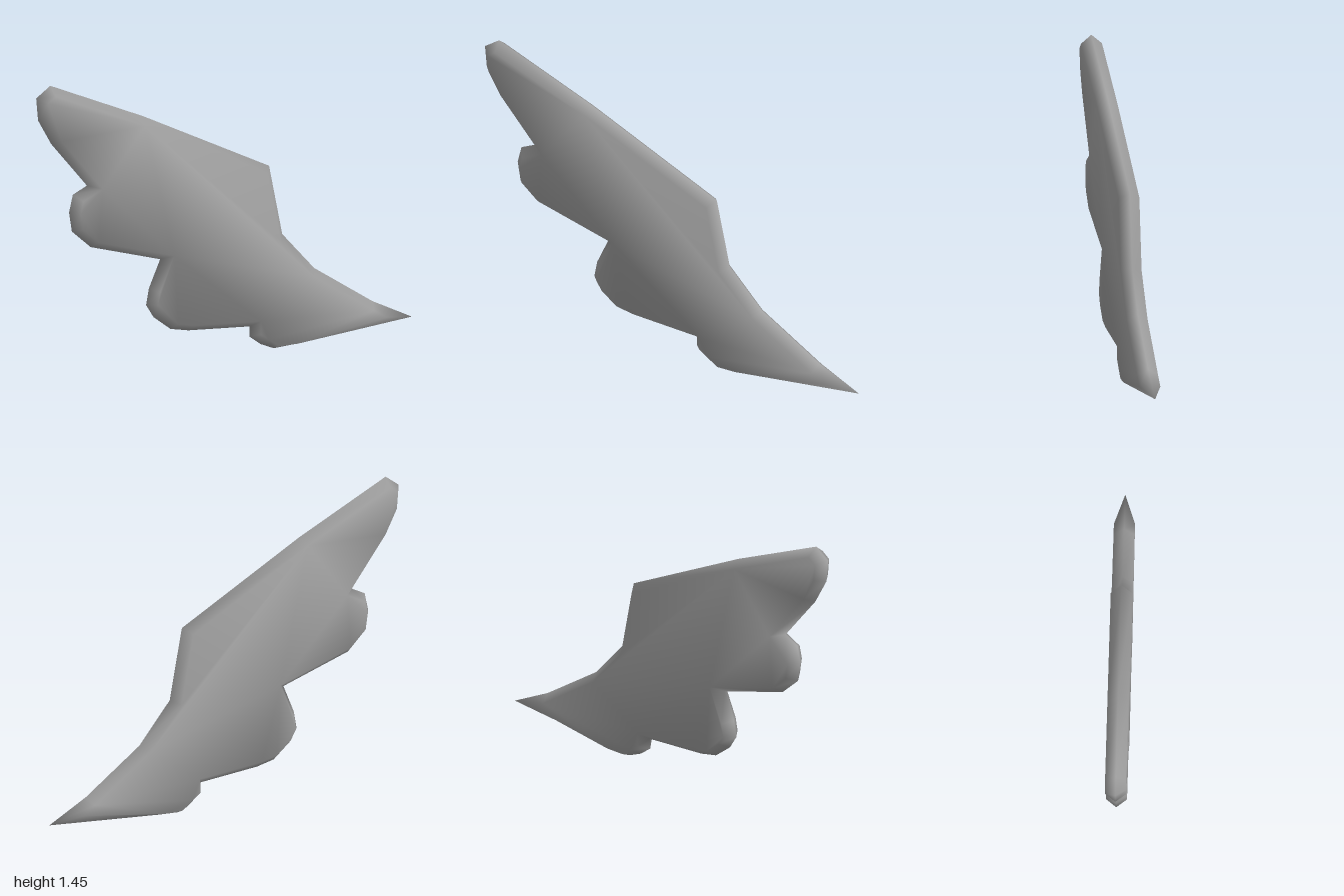
import * as THREE from 'three';

const HALF_DEPTH = 0.05;
const BEVEL = 0.036;
const SOFTNESS = 0.5; // how far the face normals lean outward at the bevel

// Wing silhouette, counter-clockwise from the pointed tip: x, y, bevel scale
const OUTLINE = [
  [1, 0.055, 1.2], [0.79, 0.16], [0.48, 0.365], [0.31, 0.555], [0.24, 0.9],     // shoulder
  [-0.43, 1.235], [-0.925, 1.452], [-1, 1.4], [-0.99, 1.29], [-0.92, 1.165],    // long feather
  [-0.73, 0.935], [-0.805, 0.9], [-0.825, 0.815], [-0.81, 0.72], [-0.71, 0.63], // second feather
  [-0.34, 0.52], [-0.4, 0.385], [-0.415, 0.305], [-0.375, 0.24], [-0.285, 0.17],
  [-0.19, 0.15], [0.135, 0.125],                                                // third feather
  [0.135, 0.075], [0.195, 0.03], [0.265, 0, 0.6], [0.365, 0.005, 0.45],         // lowest feather
];

// Flat regions of each face, as corner numbers of the outline
const REGIONS = [
  [5, 6, 7, 8, 9, 10],              // long feather
  [10, 11, 12, 13, 14, 15],         // second feather
  [15, 16, 17, 18, 19, 20, 21],     // third feather
  [21, 22, 23, 24, 25, 0, 1, 2],    // lowest feather
  [5, 10, 15],
  [2, 3, 4, 5, 15, 21],             // core
];

// Mitre vector at a corner: points inward, one unit from both edges
function mitre(points, i) {
  const n = points.length;
  const a = points[i].clone().sub(points[(i + n - 1) % n]).normalize();
  const b = points[(i + 1) % n].clone().sub(points[i]).normalize();
  const na = new THREE.Vector2(-a.y, a.x);
  const nb = new THREE.Vector2(-b.y, b.x);
  return na.clone().add(nb).divideScalar(1 + na.dot(nb));
}

// Three rings (front, rim, back) joined by bevels and closed by flat faces
function wingGeometry() {
  const n = OUTLINE.length;
  const rim = OUTLINE.map(([x, y]) => new THREE.Vector2(x, y));
  const mitres = rim.map((p, i) => mitre(rim, i));
  const inner = rim.map((p, i) => p.clone().addScaledVector(mitres[i], BEVEL * (OUTLINE[i][2] ?? 1)));
  const positions = [];
  const normals = [];
  const index = [];

  for (const side of [1, 0, -1]) {
    (side ? inner : rim).forEach((p, i) => {
      const out = mitres[i].clone().normalize().multiplyScalar(side ? -SOFTNESS : -1);
      const normal = new THREE.Vector3(out.x, out.y, side).normalize();
      positions.push(p.x, p.y, side * HALF_DEPTH);
      normals.push(normal.x, normal.y, normal.z);
    });
  }

  // Bevels
  for (let r = 0; r < 2; r++) {
    for (let i = 0; i < n; i++) {
      const j = (i + 1) % n;
      const a = r * n + i, b = r * n + j, c = a + n, d = b + n;
      index.push(a, c, d, a, d, b);
    }
  }

  // Front and back faces
  for (const region of REGIONS) {
    for (const triangle of THREE.ShapeUtils.triangulateShape(region.map((i) => inner[i]), [])) {
      const [a, b, c] = triangle.map((k) => region[k]);
      index.push(a, b, c, 2 * n + a, 2 * n + c, 2 * n + b);
    }
  }

  const geometry = new THREE.BufferGeometry();
  geometry.setAttribute('position', new THREE.Float32BufferAttribute(positions, 3));
  geometry.setAttribute('normal', new THREE.Float32BufferAttribute(normals, 3));
  geometry.setIndex(index);
  return geometry;
}

export function createModel() {
  const group = new THREE.Group();
  const wing = new THREE.Mesh(wingGeometry(), new THREE.MeshStandardMaterial({ color: 0xa0a0a0 }));
  wing.name = 'wing';
  group.add(wing);
  return group;
}
